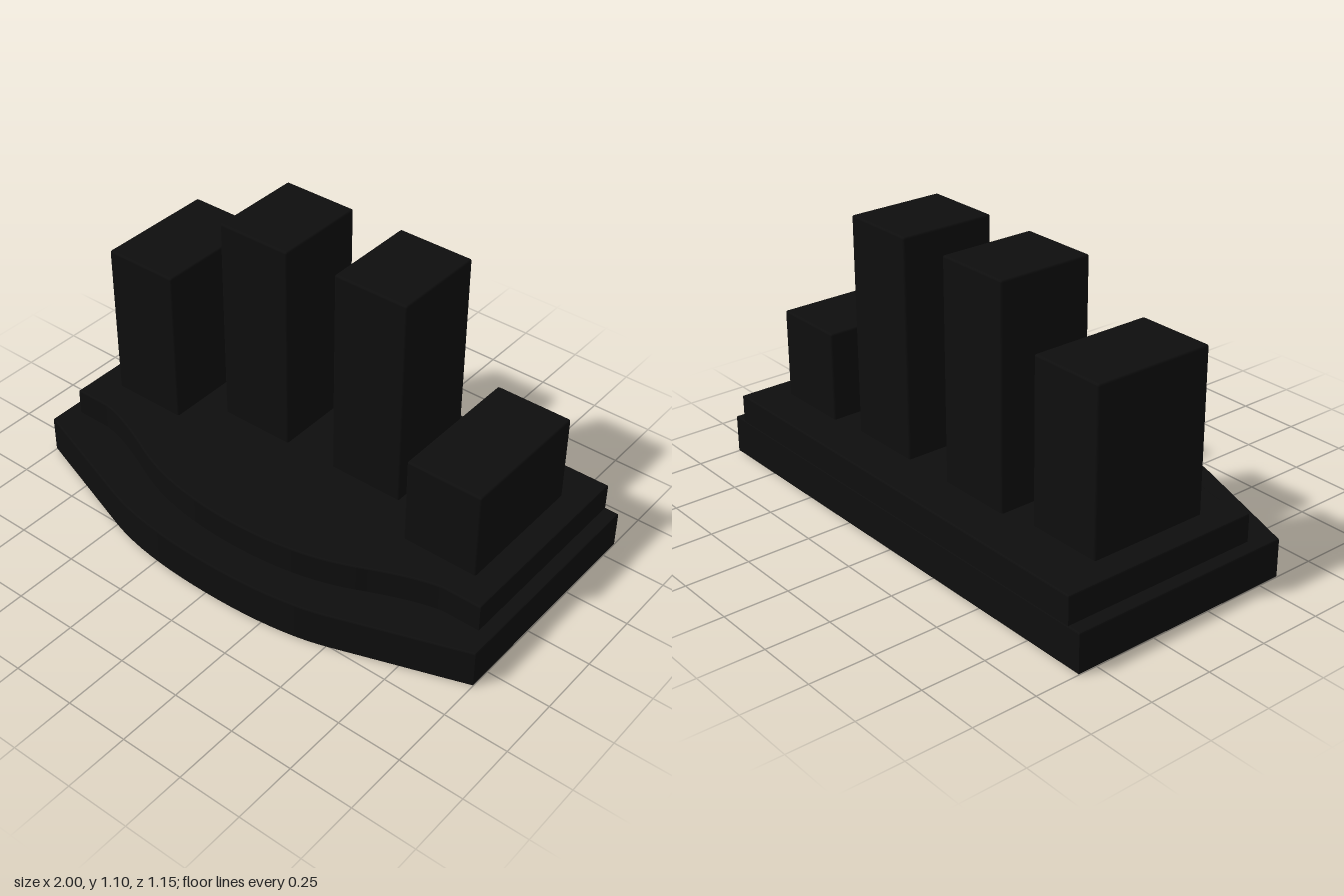
import * as THREE from 'three';
import { RoundedBoxGeometry } from 'three/addons/geometries/RoundedBoxGeometry.js';

const BEVEL = 0.005;

// Plinth slab: straight back and sides, symmetrical curved front.
// half lists the front edge from the side to the middle: [corner, curve start, control, joint, control, middle]
function slab(name, half, back, bottom, top, material) {
  const [corner, start, c1, joint, c2, middle] = half;
  const shape = new THREE.Shape();
  shape.moveTo(-corner[0], back);
  shape.lineTo(corner[0], back);
  shape.lineTo(...corner);
  shape.lineTo(...start);
  shape.quadraticCurveTo(...c1, ...joint);
  shape.quadraticCurveTo(...c2, ...middle);
  shape.quadraticCurveTo(-c2[0], c2[1], -joint[0], joint[1]);
  shape.quadraticCurveTo(-c1[0], c1[1], -start[0], start[1]);
  shape.lineTo(-corner[0], corner[1]);
  shape.closePath();
  const geometry = new THREE.ExtrudeGeometry(shape, {
    depth: top - bottom - 2 * BEVEL, curveSegments: 10,
    bevelEnabled: true, bevelThickness: BEVEL, bevelSize: BEVEL, bevelOffset: -BEVEL, bevelSegments: 2,
  });
  geometry.rotateX(Math.PI / 2);
  geometry.translate(0, top - BEVEL, 0);
  const mesh = new THREE.Mesh(geometry, material);
  mesh.name = name;
  return mesh;
}

// Upright block with softly rounded edges
function block(name, x, top, back, front, material) {
  const bottom = 0.25;
  const geometry = new RoundedBoxGeometry(0.305, top - bottom, front - back, 2, 0.008);
  const mesh = new THREE.Mesh(geometry, material);
  mesh.position.set(x, (top + bottom) / 2, (back + front) / 2);
  mesh.name = name;
  return mesh;
}

export function createModel() {
  const black = new THREE.MeshStandardMaterial({ color: 0x0e0e0e });
  black.name = 'black';
  const model = new THREE.Group();
  model.name = 'steppedBlockStand';

  // Two-step base
  model.add(
    slab('lowerBase', [[1, 0.335], [0.9, 0.37], [0.7, 0.439], [0.51, 0.505], [0.317, 0.572], [0, 0.572]],
      -0.575, 0, 0.152, black),
    slab('upperBase', [[0.945, 0.238], [0.8, 0.238], [0.7, 0.25], [0.5, 0.345], [0.29, 0.442], [0, 0.442]],
      -0.573, 0.145, 0.26, black),
  );

  // Row of four blocks
  model.add(
    block('rightOuterBlock', -0.69, 0.882, -0.37, 0.112, black),
    block('rightInnerBlock', -0.262, 1.1, -0.402, -0.025, black),
    block('leftInnerBlock', 0.254, 1.1, -0.402, -0.025, black),
    block('leftOuterBlock', 0.692, 0.606, -0.423, 0.124, black),
  );
  return model;
}
